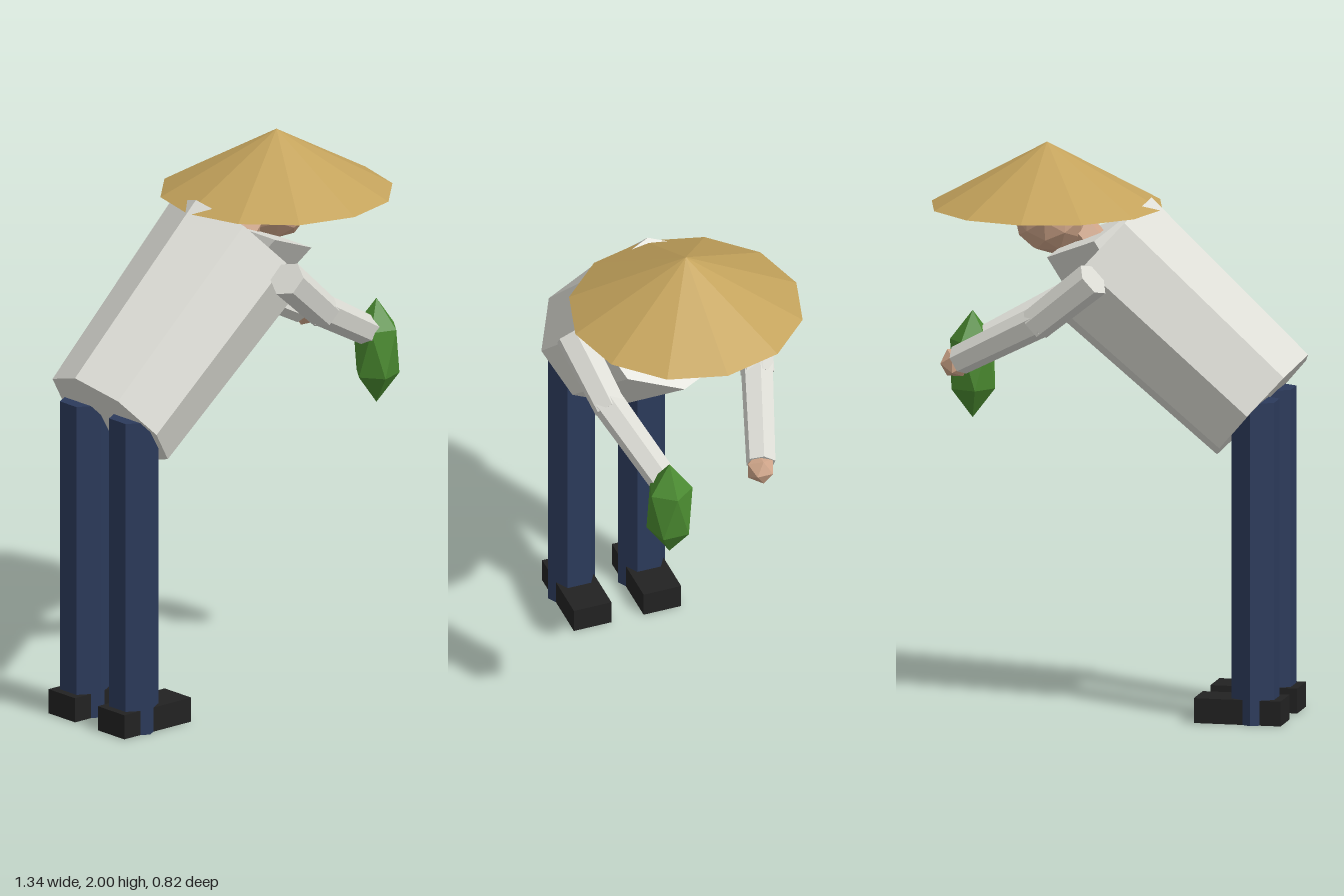
import * as THREE from 'three';

const mat = (name, color) => {
  const m = new THREE.MeshStandardMaterial({ color, flatShading: true });
  m.name = name;
  return m;
};

export function createModel() {
  const group = new THREE.Group();
  const shirt = mat('shirt', 0xdcdcd5);
  const trousers = mat('trousers', 0x2c3b5c);
  const shoes = mat('shoes', 0x222222);
  const skin = mat('skin', 0xd0a68a);
  const hair = mat('hair', 0x151515);
  const straw = mat('straw', 0xc4a35c);
  const leaf = mat('leaf', 0x4a8a30);

  const add = (name, geo, material, x = 0, y = 0, z = 0) => {
    const m = new THREE.Mesh(geo, material);
    m.name = name;
    m.position.set(x, y, z);
    group.add(m);
    return m;
  };
  // tapered prism running between two points
  const limb = (name, a, b, r0, r1, sides, material) => {
    const A = new THREE.Vector3(...a), B = new THREE.Vector3(...b);
    const dir = B.clone().sub(A);
    const m = add(name, new THREE.CylinderGeometry(r1, r0, dir.length(), sides), material);
    m.position.copy(A).add(B).multiplyScalar(0.5);
    m.quaternion.setFromUnitVectors(new THREE.Vector3(0, 1, 0), dir.normalize());
    return m;
  };

  // bent-over torso
  limb('torso', [-0.51, 1.1, 0], [0.068, 1.614, 0], 0.245, 0.272, 8, shirt);

  // shoulder yoke: box narrowing towards its underside
  const yoke = new THREE.BoxGeometry(0.18, 0.125, 0.5);
  const p = yoke.attributes.position;
  for (let i = 0; i < p.count; i++) if (p.getY(i) < 0) p.setZ(i, p.getZ(i) * 0.65);
  yoke.computeVertexNormals();
  add('shoulderYoke', yoke, shirt, 0.097, 1.61, 0).rotation.z = -0.36;

  // neck, head, nose and hair
  limb('neck', [0.09, 1.64, 0], [0.2, 1.76, 0], 0.06, 0.06, 6, skin);
  add('head', new THREE.IcosahedronGeometry(0.137, 1), skin, 0.24, 1.742, 0);
  add('nose', new THREE.ConeGeometry(0.028, 0.08, 4), skin, 0.373, 1.755, 0);
  add('hair', new THREE.IcosahedronGeometry(0.135, 1), hair, 0.18, 1.8, 0).scale.y = 0.6;

  // conical straw hat
  const hat = new THREE.ConeGeometry(0.412, 0.225, 12);
  add('hat', hat, straw, 0.26, 1.8875, 0);

  for (const s of [1, -1]) {
    const side = s > 0 ? 'right' : 'left';
    // arm
    limb(side + 'UpperArm', [0.02, 1.58, s * 0.33], [0.24, 1.4, s * 0.275], 0.065, 0.06, 6, shirt);
    limb(side + 'Forearm', [0.22, 1.415, s * 0.28], [0.535, 1.245, s * 0.175], 0.058, 0.053, 6, shirt);
    add(side + 'Hand', new THREE.IcosahedronGeometry(0.055, 0), skin, 0.55, 1.235, s * 0.168);
    // leg and shoe
    add(side + 'Leg', new THREE.CylinderGeometry(0.0875, 0.0875, 1.14, 6), trousers, -0.515, 0.57, s * 0.13);
    add(side + 'Shoe', new THREE.BoxGeometry(0.31, 0.088, 0.14), shoes, -0.465, 0.044, s * 0.13);
  }

  // bundle of seedlings held in the right hand
  const bundle = new THREE.IcosahedronGeometry(1, 0);
  bundle.rotateZ(-0.5536);
  bundle.scale(0.09, 0.19, 0.09);
  add('seedlingBundle', bundle, leaf, 0.567, 1.17, 0.178);

  return group;
}
